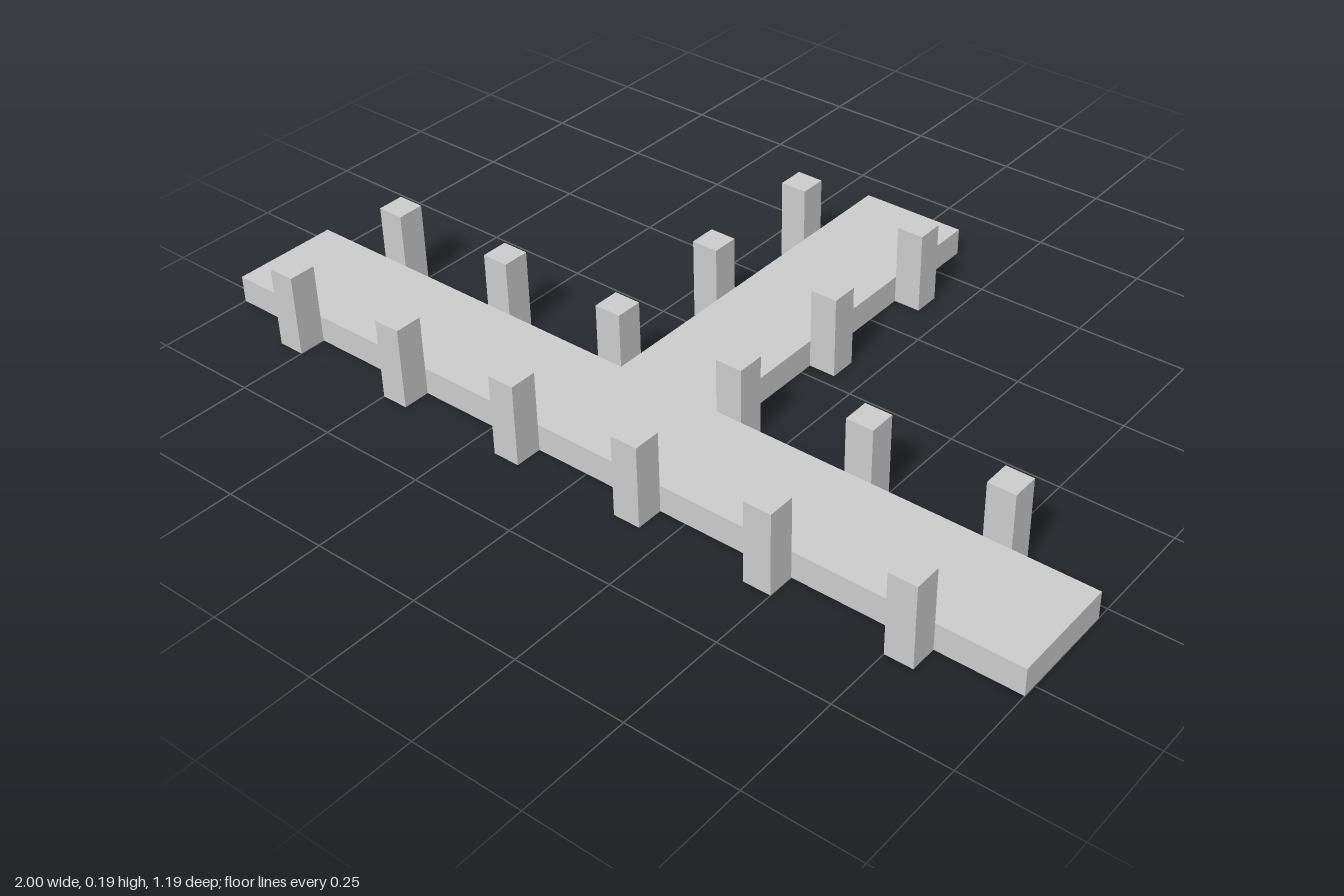
import * as THREE from 'three';

const U = 1 / 32; // modelling module
const material = new THREE.MeshStandardMaterial({ color: 0xcccccc, flatShading: true });

// T-shaped walkway, outlined in plan (x, z) and extruded upward
function createDeck() {
  const outline = [
    [-32, 17], [32, 17], [32, 9], [4, 9],
    [4, -19], [-4, -19], [-4, 9], [-32, 9],
  ].map(([x, z]) => new THREE.Vector2(x * U, -z * U));
  const geometry = new THREE.ExtrudeGeometry(new THREE.Shape(outline), {
    depth: 2 * U, bevelEnabled: false,
  });
  geometry.rotateX(-Math.PI / 2);
  const deck = new THREE.Mesh(geometry, material);
  deck.name = 'deck';
  return deck;
}

export function createModel() {
  const model = new THREE.Group();
  model.name = 'pier';
  model.add(createDeck());

  // Square mooring posts standing against the deck edges
  const posts = new THREE.Group();
  posts.name = 'posts';
  const postGeometry = new THREE.BoxGeometry(2 * U, 6 * U, 2 * U);
  const addPost = (x, z, name) => {
    const post = new THREE.Mesh(postGeometry, material);
    post.position.set(x * U, 3 * U, z * U);
    post.name = name;
    posts.add(post);
  };
  for (const side of [-1, 1]) {
    // Both long edges of the crossbar
    for (const x of [5, 15, 25]) {
      addPost(side * x, 18, 'frontPost');
      addPost(side * x, 8, 'backPost');
    }
    // Edges of the stem
    for (const z of [-2, -12]) addPost(side * 5, z, 'stemPost');
  }
  model.add(posts);
  return model;
}
